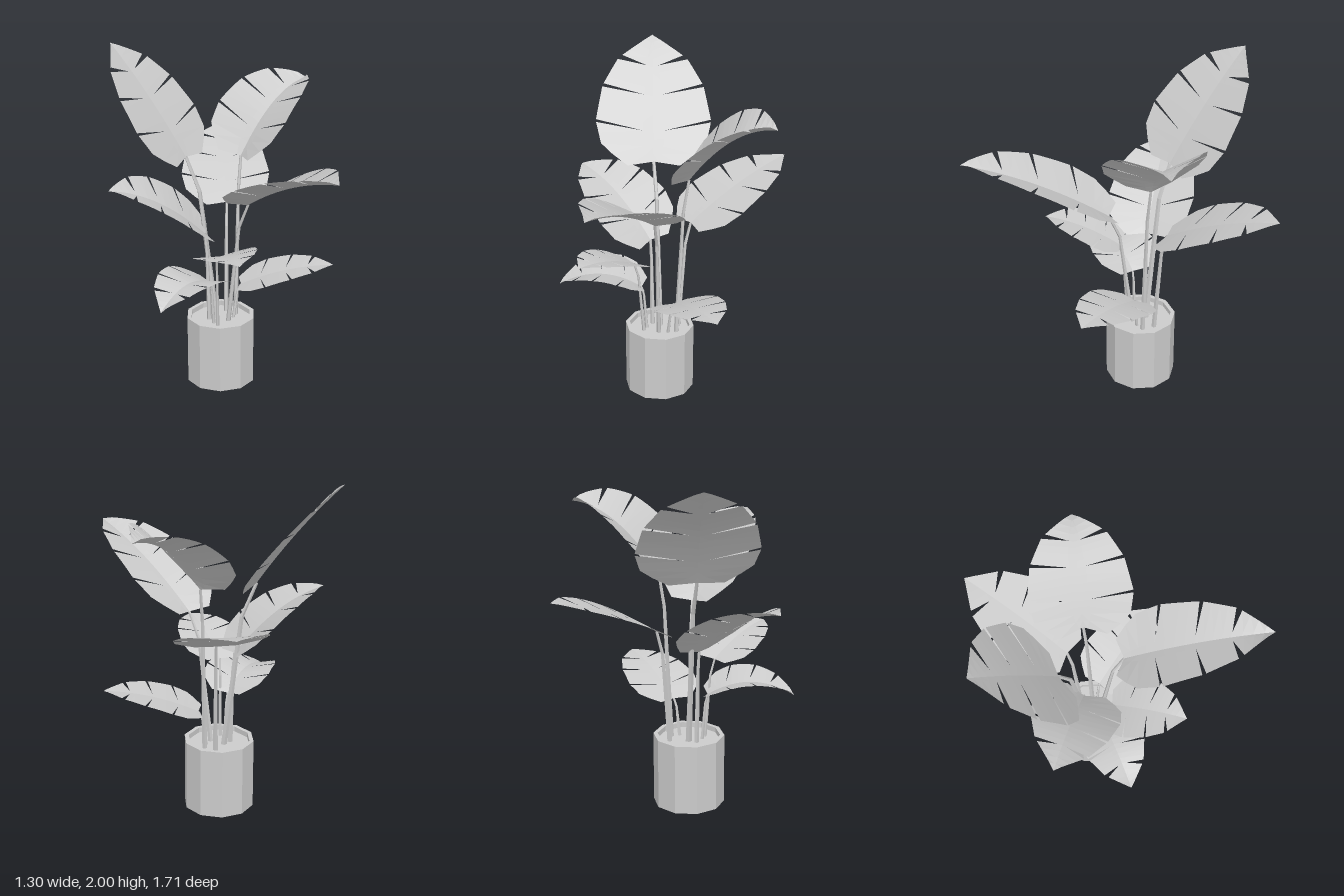
import * as THREE from 'three';

const V = (x, y, z) => new THREE.Vector3(x, y, z);
const material = () => new THREE.MeshStandardMaterial({ color: 0xcccccc, flatShading: true, side: THREE.DoubleSide });

const POT = { x: -0.03, z: -0.16, radius: 0.206, height: 0.415, soil: 0.385 };

// half width of a leaf along its length, as a share of the widest half
const OUTLINE = [[-0.03, 0.45], [0.1, 0.9], [0.28, 1], [0.55, 0.88], [0.78, 0.6], [1, 0]];
function widthAt(t) {
  for (let i = 1; i < OUTLINE.length; i++) {
    const [t0, w0] = OUTLINE[i - 1], [t1, w1] = OUTLINE[i];
    if (t <= t1) return w0 + (w1 - w0) * Math.max(0, (t - t0) / (t1 - t0));
  }
  return 0;
}

// lobes between the splits: start and end at the midrib, start and end at the edge
const LOBES = [
  [0, 0.2, -0.03, 0.27],
  [0.2, 0.47, 0.29, 0.54],
  [0.47, 0.71, 0.565, 0.77],
  [0.71, 1, 0.805, 1],
];
const COLUMNS = [0, 0.18, 1];
const ROWS = 4;

// leaf: midrib curve, sides folded up in a V and rolled about the midrib, deep narrow splits
function leafGeometry({ base, tip, lift, half, fold = 0.27, roll = 0 }) {
  const a = V(...base), b = V(...tip);
  const middle = a.clone().lerp(b, 0.5);
  middle.y += 2 * lift;
  const rib = new THREE.QuadraticBezierCurve3(a, middle, b);
  const along = b.clone().sub(a).normalize();
  const side = along.clone().cross(V(0, 1, 0)).normalize().applyAxisAngle(along, roll);

  const point = (tRib, tEdge, u, sign) => {
    const t = tRib + (tEdge - tRib) * u;
    const tangent = along.clone().lerp(rib.getTangent(THREE.MathUtils.clamp(t, 0, 1)), 0.7).normalize();
    const normal = side.clone().cross(tangent).normalize();
    const w = widthAt(tEdge);
    return rib.getPoint(t)
      .addScaledVector(side, sign * half * w * u)
      .addScaledVector(normal, fold * half * Math.pow(w, 0.55) * u);
  };

  const positions = [], index = [];
  for (const sign of [-1, 1]) {
    LOBES.forEach(([r0, r1, e0, e1], k) => {
      const start = positions.length / 3;
      for (let i = 0; i <= ROWS; i++) {
        const v = i / ROWS;
        const tRib = r0 + (r1 - r0) * v;
        for (const u of COLUMNS) {
          // the split closes towards the midrib
          const closed = u < 1;
          const s = closed && k > 0 ? (LOBES[k - 1][3] + e0) / 2 : e0;
          const e = closed && k < LOBES.length - 1 ? (LOBES[k + 1][2] + e1) / 2 : e1;
          positions.push(...point(tRib, s + (e - s) * v, u, sign).toArray());
        }
      }
      for (let i = 0; i < ROWS; i++) {
        for (let j = 0; j < 2; j++) {
          const p = start + i * 3 + j, q = p + 3;
          if (sign > 0) index.push(p, p + 1, q, p + 1, q + 1, q);
          else index.push(p, q, p + 1, p + 1, q, q + 1);
        }
      }
    });
  }
  const geometry = new THREE.BufferGeometry();
  geometry.setAttribute('position', new THREE.Float32BufferAttribute(positions, 3));
  geometry.setIndex(index);
  geometry.computeVertexNormals();
  return geometry;
}

// stem: tapered cylinder, upright at first and bent near the leaf
function stemGeometry({ foot, base, thick = 0.015 }) {
  const a = V(foot[0], POT.soil - 0.01, foot[1]), b = V(...base);
  const knee = a.clone().lerp(b, 0.55);
  knee.y = a.y + (b.y - a.y) * 0.8;
  const geometry = new THREE.CylinderGeometry(thick * 0.55, thick, 1, 5, 4, true);
  const pos = geometry.attributes.position;
  for (let i = 0; i < pos.count; i++) {
    const t = pos.getY(i) + 0.5;
    const c = t < 0.75 ? a.clone().lerp(knee, t / 0.75) : knee.clone().lerp(b, (t - 0.75) / 0.25);
    pos.setXYZ(i, c.x + pos.getX(i), c.y, c.z + pos.getZ(i));
  }
  geometry.computeVertexNormals();
  return geometry;
}

const LEAVES = [
  { name: 'frontLeaf', foot: [-0.01, -0.11], base: [0.03, 1.16, 0.035], tip: [0.02, 1.53, 0.855], lift: 0.045, half: 0.245 },
  { name: 'tallBackLeaf', foot: [-0.04, -0.19], base: [-0.15, 1.385, -0.33], tip: [-0.37, 2, -0.77], lift: 0.03, half: 0.34, fold: 0.06, roll: 0.04, thick: 0.019 },
  { name: 'tallLeftLeaf', foot: [0.08, -0.16], base: [0.14, 1.375, -0.19], tip: [0.65, 1.75, -0.235], lift: 0.092, half: 0.29, fold: 0.32 },
  { name: 'backLeftLeaf', foot: [0.06, -0.23], base: [0.11, 1.06, -0.29], tip: [0.47, 1.345, -0.855], lift: 0.035, half: 0.265, fold: 0.04 },
  { name: 'rightLeaf', foot: [-0.09, -0.19], base: [-0.11, 0.94, -0.2], tip: [-0.65, 1.27, -0.37], lift: 0.065, half: 0.26, fold: 0.16, roll: -0.14 },
  { name: 'lowFrontLeaf', foot: [-0.1, -0.09], base: [-0.14, 0.85, -0.04], tip: [-0.28, 0.98, 0.385], lift: 0.03, half: 0.195, fold: 0.1, roll: 0.05, thick: 0.011 },
  { name: 'lowRightLeaf', foot: [-0.1, -0.13], base: [-0.13, 0.66, -0.12], tip: [-0.59, 0.66, 0.06], lift: 0.078, half: 0.2, fold: 0.22, thick: 0.011 },
  { name: 'lowLeftLeaf', foot: [0.04, -0.13], base: [0.085, 0.6, -0.11], tip: [0.51, 0.735, 0.23], lift: 0.03, half: 0.21, fold: 0.06, thick: 0.011 },
];

export function createModel() {
  const model = new THREE.Group();
  model.name = 'pottedPlant';

  // ten-sided pot with a rim and sunken soil
  const { radius, height, soil } = POT;
  const inner = radius * 0.88;
  const lathe = (points) => new THREE.LatheGeometry(points.map((p) => new THREE.Vector2(...p)), 10);
  const pot = new THREE.Mesh(lathe([[0, 0], [radius, 0], [radius, height], [inner, height], [inner, soil]]), material());
  pot.name = 'pot';
  const earth = new THREE.Mesh(lathe([[inner, soil], [0, soil]]), material());
  earth.name = 'soil';
  for (const part of [pot, earth]) {
    part.position.set(POT.x, 0, POT.z);
    model.add(part);
  }

  // each leaf on its own stem
  for (const spec of LEAVES) {
    const group = new THREE.Group();
    group.name = spec.name;
    const blade = new THREE.Mesh(leafGeometry(spec), material());
    blade.name = 'blade';
    const stem = new THREE.Mesh(stemGeometry(spec), material());
    stem.name = 'stem';
    group.add(blade, stem);
    model.add(group);
  }
  return model;
}
